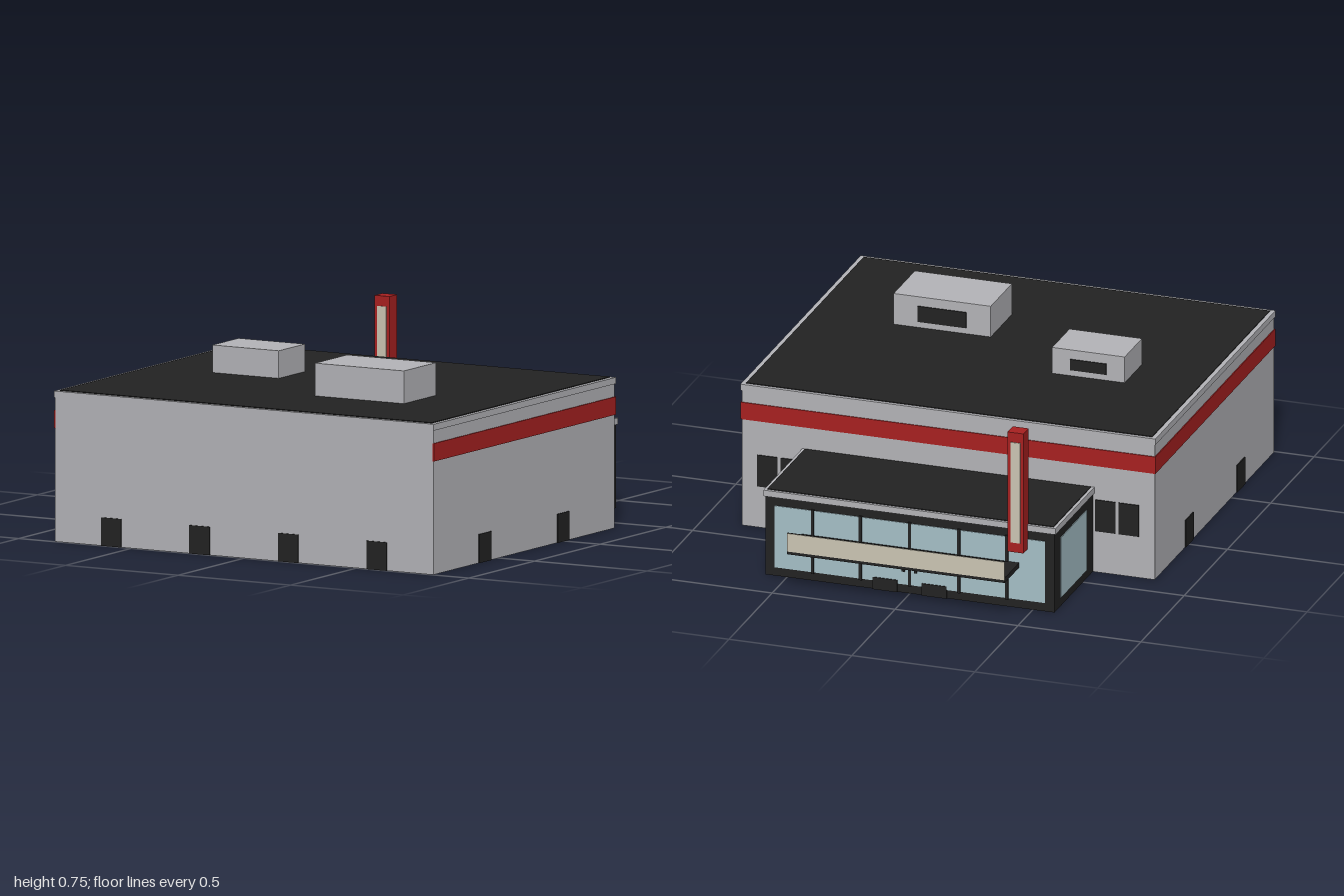
import * as THREE from 'three';

const paint = (name, color) => {
  const m = new THREE.MeshStandardMaterial({ color });
  m.name = name;
  return m;
};

export function createModel() {
  const wall = paint('wall grey', 0xb4b4b8);
  const dark = paint('charcoal', 0x222222);
  const red = paint('stripe red', 0xa82020);
  const glass = paint('window glass', 0xa6c0c8);
  const cream = paint('sign cream', 0xccc6b4);

  const model = new THREE.Group();
  model.name = 'storeBuilding';

  // Box given by its minimum and maximum on each axis
  const box = (name, mat, [x0, x1], [y0, y1], [z0, z1], parent = model) => {
    const mesh = new THREE.Mesh(new THREE.BoxGeometry(x1 - x0, y1 - y0, z1 - z0), mat);
    mesh.position.set((x0 + x1) / 2, (y0 + y1) / 2, (z0 + z1) / 2);
    mesh.name = name;
    parent.add(mesh);
    return mesh;
  };
  const group = (name) => {
    const g = new THREE.Group();
    g.name = name;
    model.add(g);
    return g;
  };
  const around = (c, w) => [c - w / 2, c + w / 2];
  // Thin plate on a side wall; s = 1 or -1 selects the wall
  const side = (s, x, t) => (s > 0 ? [x, x + t] : [-x - t, -x]);

  // Main hall with roof edge and roof
  const hall = group('mainHall');
  box('hallWalls', wall, [-0.84, 0.84], [0, 0.56], [-0.385, 0.996], hall);
  box('hallRoofEdge', wall, [-0.844, 0.844], [0.56, 0.585], [-0.39, 1], hall);
  box('hallRoof', dark, [-0.826, 0.826], [0.583, 0.588], [-0.375, 0.984], hall);

  // Red stripe on the sides and back
  const stripes = group('stripes');
  for (const s of [1, -1]) {
    box('sideStripe', red, side(s, 0.838, 0.006), [0.44, 0.51], [-0.389, 0.997], stripes);
  }
  box('backStripe', red, [-0.84, 0.84], [0.44, 0.51], [-0.389, -0.383], stripes);

  // Small doors on the front and sides
  const doors = group('serviceDoors');
  for (const x of [-0.59, -0.197, 0.197, 0.59]) {
    box('frontDoor', dark, around(x, 0.09), [0, 0.11], [0.992, 1], doors);
  }
  for (const s of [1, -1]) {
    for (const z of [0.01, 0.605]) {
      box('sideDoor', dark, side(s, 0.836, 0.008), [0, 0.112], around(z, 0.09), doors);
    }
    // Window pair beside the entrance hall
    for (const x of [0.64, 0.735]) {
      box('backWindow', dark, around(s * x, 0.082), [0.17, 0.3], [-0.389, -0.381], doors);
    }
  }

  // Rooftop units with a dark vent at the back
  const units = group('rooftopUnits');
  for (const [x0, x1, z0, z1, top] of [
    [-0.545, -0.25, 0.105, 0.305, 0.695],
    [0.095, 0.49, 0.375, 0.62, 0.715],
  ]) {
    box('unitCase', wall, [x0, x1], [0.58, top], [z0, z1], units);
    box('unitVent', dark, around((x0 + x1) / 2, (x1 - x0) * 0.5), [0.612, top - 0.038],
      [z0 - 0.004, z0 + 0.002], units);
  }

  // Entrance hall
  const lobby = group('entranceHall');
  box('lobbyWalls', dark, [-0.588, 0.588], [0, 0.325], [-0.828, -0.38], lobby);
  box('lobbyRoofEdge', wall, [-0.594, 0.594], [0.325, 0.35], [-0.834, -0.385], lobby);
  box('lobbyRoof', dark, [-0.582, 0.582], [0.348, 0.353], [-0.822, -0.391], lobby);
  for (const s of [1, -1]) {
    box('sideGlass', glass, side(s, 0.586, 0.005), [0.035, 0.285], [-0.76, -0.46], lobby);
  }
  box('entranceGlass', glass, [-0.55, 0.55], [0.035, 0.29], [-0.831, -0.826], lobby);
  for (const x of [-0.395, -0.2, 0, 0.2, 0.395]) {
    box('mullion', dark, around(x, 0.012), [0.03, 0.295], [-0.835, -0.826], lobby);
  }
  // Entrance door rails and handles
  for (const x of [-0.1, 0.1]) {
    box('doorRail', dark, around(x, 0.1), [0, 0.05], [-0.834, -0.826], lobby);
  }
  for (const x of [-0.025, 0.025]) {
    box('doorHandle', dark, around(x, 0.01), [0.09, 0.15], [-0.838, -0.828], lobby);
  }

  // Canopy with an upright fascia
  const canopy = group('canopy');
  box('canopySlab', dark, [-0.445, 0.44], [0.168, 0.188], [-0.996, -0.825], canopy);
  box('fascia', dark, [-0.445, 0.44], [0.168, 0.255], [-0.998, -0.991], canopy);
  box('fasciaFace', cream, [-0.445, 0.44], [0.18, 0.255], [-1, -0.998], canopy);

  // Sign tower with light panels on the front and back
  const tower = group('signTower');
  box('towerBody', red, [-0.48, -0.415], [0.25, 0.745], [-0.88, -0.82], tower);
  for (const z of [-0.88, -0.82]) {
    box('towerPanel', cream, around(-0.4475, 0.04), [0.29, 0.705], around(z, 0.006), tower);
  }

  return model;
}
